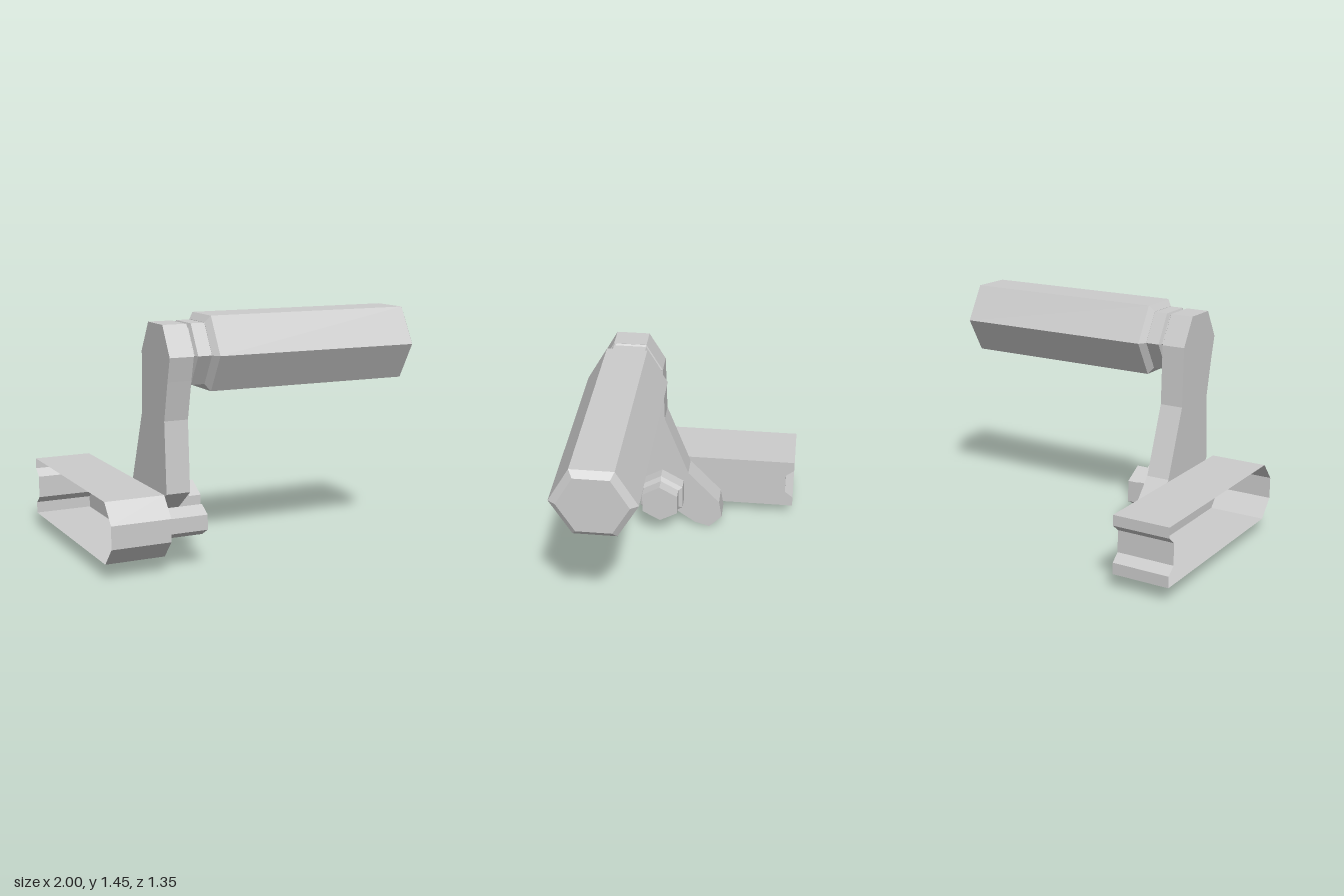
import * as THREE from 'three';

const solid = new THREE.MeshStandardMaterial({ color: 0xcccccc, flatShading: true });
const sheet = new THREE.MeshStandardMaterial({ color: 0xcccccc, flatShading: true, side: THREE.DoubleSide });

// Shape from side-profile points given as [z, y]
const sideShape = (pts) => new THREE.Shape(pts.map(([z, y]) => new THREE.Vector2(-z, y)));

// Extrude a side profile along x, from x0 to x1
function extrudeX(shape, x0, x1) {
  return new THREE.ExtrudeGeometry(shape, { depth: x1 - x0, bevelEnabled: false })
    .rotateY(Math.PI / 2).translate(x0, 0, 0);
}

// Six-sided turned part along x; profile points are [x, radius]
function hexX(name, profile, y, z, pointUp = false) {
  const pts = profile.map(([x, r]) => new THREE.Vector2(r, x));
  const geo = new THREE.LatheGeometry(pts, 6, pointUp ? Math.PI / 6 : 0)
    .rotateZ(-Math.PI / 2).translate(0, y, z);
  const mesh = new THREE.Mesh(geo, solid);
  mesh.name = name;
  return mesh;
}

function createBase() {
  const base = new THREE.Group();
  base.name = 'baseHousing';
  const shape = sideShape([
    [0.575, 0.45], [0.675, 0.335], [0.675, 0.2], [0.575, 0.09],
    [-0.675, 0.09], [-0.675, 0.16], [-0.62, 0.205],
    [-0.62, 0.34], [-0.675, 0.385], [-0.675, 0.45],
  ]);
  // Rim: only the side walls of the extrusion, so the outer end stays open
  const full = extrudeX(shape, -1, -0.64);
  const { start, count } = full.groups[1];
  const walls = full.attributes.position.array.slice(start * 3, (start + count) * 3);
  const rimGeo = new THREE.BufferGeometry();
  rimGeo.setAttribute('position', new THREE.BufferAttribute(walls, 3));
  rimGeo.computeVertexNormals();
  const rim = new THREE.Mesh(rimGeo, sheet);
  rim.name = 'housingRim';
  // Closed face next to the arm
  const plate = new THREE.Mesh(
    new THREE.ShapeGeometry(shape).rotateY(Math.PI / 2).translate(-0.64, 0, 0), sheet);
  plate.name = 'housingPlate';
  base.add(rim, plate);
  return base;
}

function createArm() {
  const arm = new THREE.Mesh(extrudeX(sideShape([
    [0.5, 1.405], [0.6, 1.23], [0.565, 1.09], [0.515, 0.86], [0.54, 0.44],
    [0.345, 0.29], [-0.015, 0.03], [-0.115, 0], [-0.2, 0.09], [-0.18, 0.21],
    [0.03, 0.44], [0.185, 0.86], [0.193, 1.23], [0.295, 1.405],
  ]), -0.61, -0.463), solid);
  arm.name = 'crankArm';
  return arm;
}

export function createModel() {
  const model = new THREE.Group();
  model.name = 'crankHandle';
  model.add(createBase(), createArm());

  // Grip with its grooved collar
  model.add(hexX('collar', [
    [-0.463, 0], [-0.463, 0.2], [-0.45, 0.175], [-0.445, 0.175],
    [-0.435, 0.203], [-0.34, 0.203], [-0.34, 0],
  ], 1.23, 0.395));
  model.add(hexX('grip', [
    [-0.35, 0], [-0.35, 0.205], [-0.32, 0.25], [0.97, 0.25], [1, 0.205], [1, 0],
  ], 1.23, 0.395));

  // Pivot bolt and stop pin
  model.add(hexX('pivotBolt', [
    [-0.463, 0], [-0.463, 0.166], [-0.385, 0.166], [-0.37, 0.135], [-0.295, 0.135], [-0.295, 0],
  ], 0.29, 0.205, true));
  model.add(hexX('stopPin', [
    [-0.64, 0], [-0.64, 0.09], [-0.385, 0.09], [-0.385, 0],
  ], 0.27, 0.533, true));
  return model;
}
